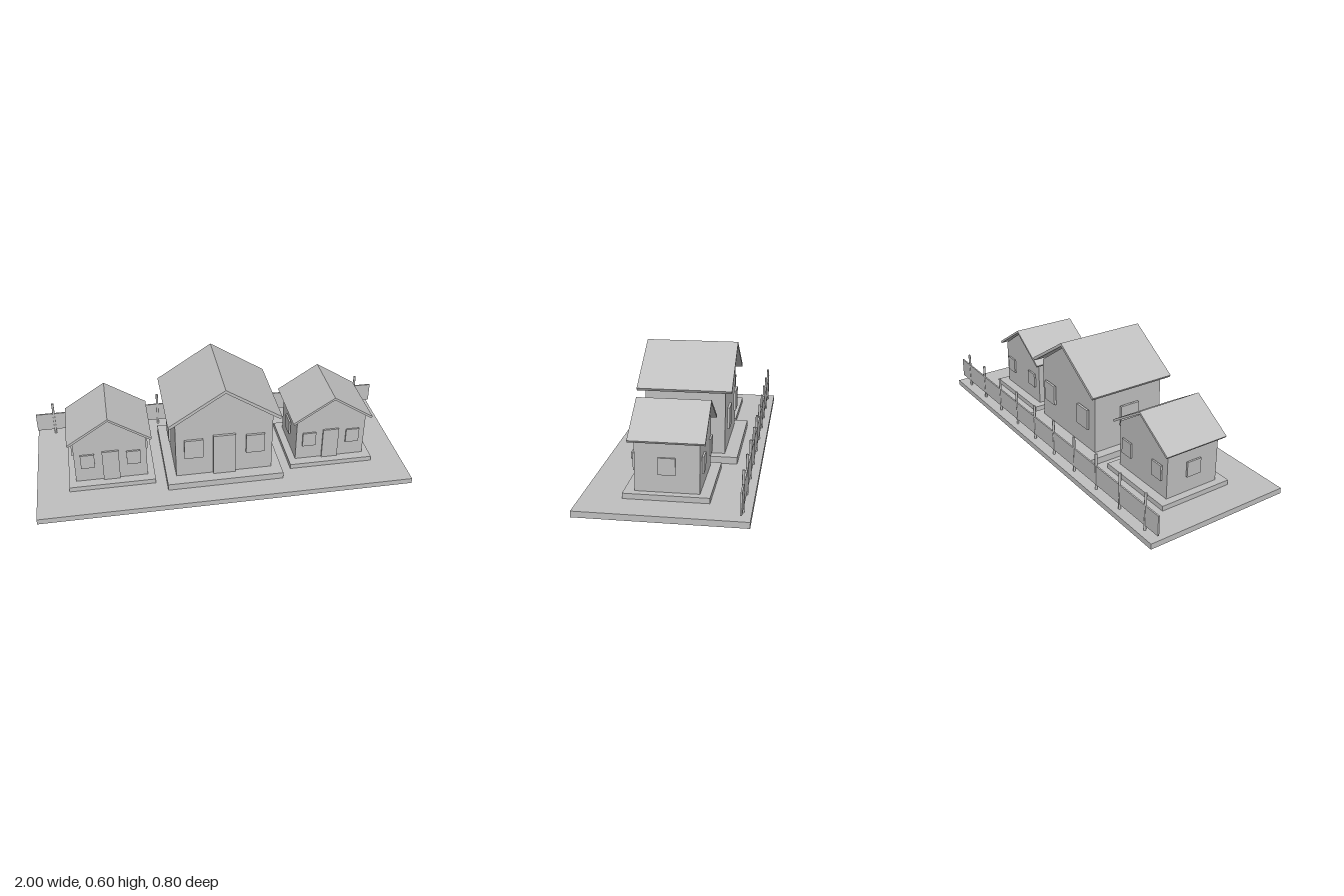
import * as THREE from 'three';

const grey = new THREE.MeshStandardMaterial({ color: 0xbfbfbf });
grey.name = 'plain grey';

function add(parent, name, geometry, x = 0, y = 0, z = 0) {
  const mesh = new THREE.Mesh(geometry, grey);
  mesh.name = name;
  mesh.position.set(x, y, z);
  parent.add(mesh);
  return mesh;
}

// Box whose bottom rests at y
function block(parent, name, w, h, d, x, y, z) {
  return add(parent, name, new THREE.BoxGeometry(w, h, d), x, y + h / 2, z);
}

// Front-facing outline extruded along z and centred on it
function prism(points, depth) {
  const shape = new THREE.Shape(points.map(([x, y]) => new THREE.Vector2(x, y)));
  const geometry = new THREE.ExtrudeGeometry(shape, { depth, bevelEnabled: false });
  return geometry.translate(0, 0, -depth / 2);
}

function createHouse(name, x, scale) {
  const house = new THREE.Group();
  house.name = name;
  house.position.set(x, 0.03, 0);
  house.scale.setScalar(scale);

  block(house, 'foundation', 0.625, 0.036, 0.555, 0, 0, 0);

  // Walls with a gable at front and back
  add(house, 'walls', prism(
    [[-0.26, 0.036], [0.26, 0.036], [0.26, 0.375], [0, 0.553], [-0.26, 0.375]], 0.416));

  // Thin pitched roof overhanging on all sides
  add(house, 'roof', prism(
    [[-0.3, 0.38], [-0.291, 0.366], [0, 0.555], [0.291, 0.366], [0.3, 0.38], [0, 0.573]], 0.49));

  block(house, 'door', 0.12, 0.244, 0.016, 0, 0.036, 0.214);

  // Raised window plates on every wall
  for (const side of [-1, 1]) {
    for (const end of [-1, 1]) {
      block(house, end > 0 ? 'frontWindow' : 'backWindow', 0.1, 0.112, 0.013, side * 0.165, 0.157, end * 0.2205);
    }
    block(house, 'sideWindow', 0.013, 0.112, 0.112, side * 0.2725, 0.157, 0);
  }
  return house;
}

export function createModel() {
  const model = new THREE.Group();
  model.name = 'houseRow';

  block(model, 'ground', 2, 0.03, 0.8, 0, 0, 0);

  model.add(
    createHouse('mainHouse', 0, 1),
    createHouse('leftHouse', 0.6, 0.735),
    createHouse('rightHouse', -0.6, 0.735),
  );

  // Back fence: one long panel on evenly spaced posts
  const fence = new THREE.Group();
  fence.name = 'fence';
  model.add(fence);
  block(fence, 'fencePanel', 2, 0.107, 0.008, 0, 0.058, -0.36);
  const post = new THREE.CylinderGeometry(0.0065, 0.0065, 0.2, 12);
  for (let i = 0; i < 10; i++) add(fence, 'fencePost', post, -0.9 + i * 0.2, 0.13, -0.36);

  return model;
}
